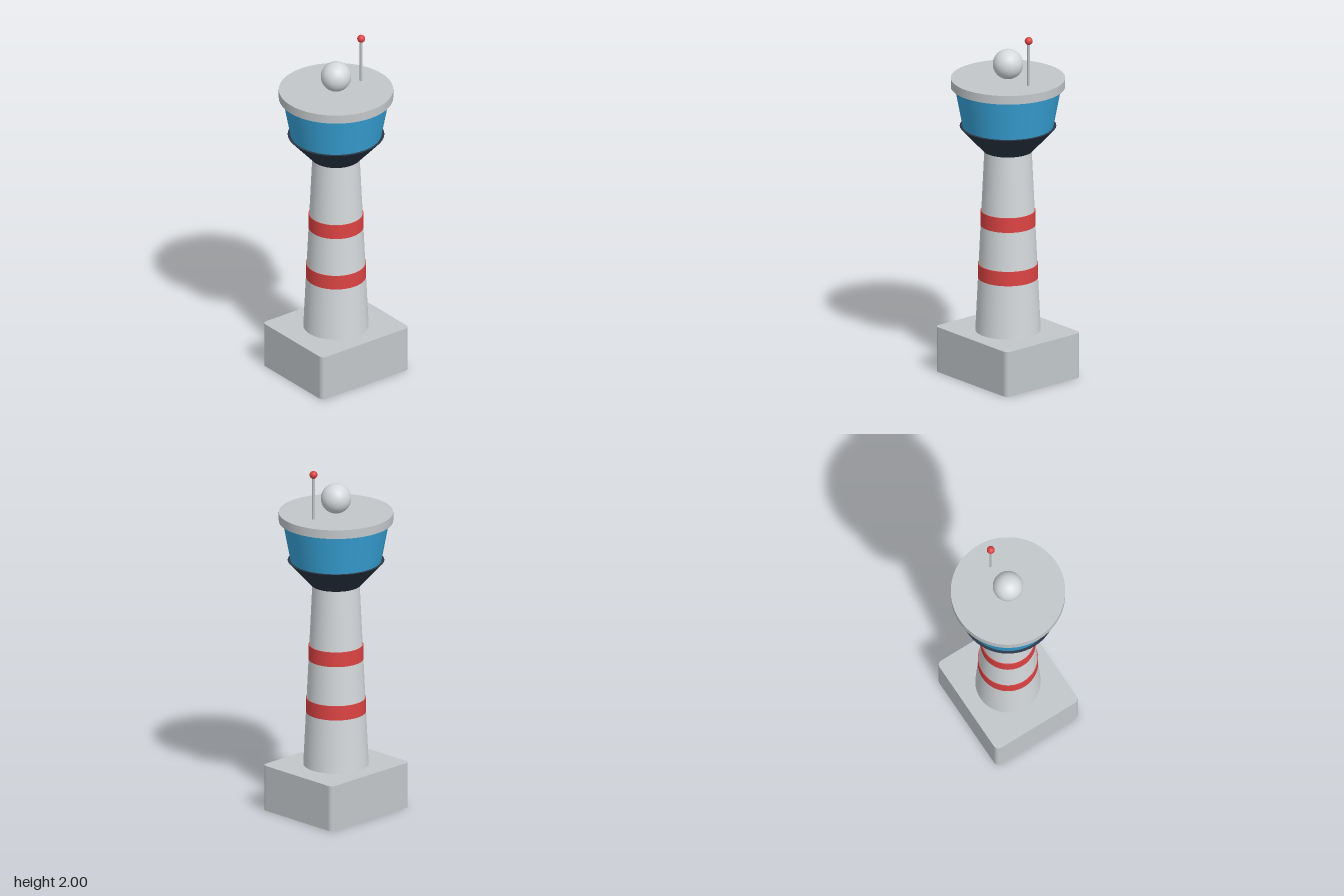
import * as THREE from 'three';

export function createModel() {
  const group = new THREE.Group();
  group.name = 'controlTower';

  const paint = (name, color) => {
    const m = new THREE.MeshStandardMaterial({ color });
    m.name = name;
    return m;
  };
  const concrete = paint('concrete grey', 0xc2c7ca);
  const white = paint('pale grey', 0xd5d9dc);
  const red = paint('red', 0xdc4343);
  const blue = paint('window blue', 0x38a3d8);
  const dark = paint('dark navy', 0x2b3545);

  const add = (name, geometry, material, x = 0, y = 0, z = 0) => {
    const mesh = new THREE.Mesh(geometry, material);
    mesh.name = name;
    mesh.position.set(x, y, z);
    group.add(mesh);
    return mesh;
  };
  // Round section between two heights
  const drum = (name, rBottom, rTop, y0, y1, material, x = 0, sides = 64) =>
    add(name, new THREE.CylinderGeometry(rTop, rBottom, y1 - y0, sides), material, x, (y0 + y1) / 2);

  // Base block with rounded vertical corners
  const w = 0.304, d = 0.27, r = 0.028;
  const plan = new THREE.Shape();
  plan.absarc(w - r, d - r, r, 0, Math.PI / 2);
  plan.absarc(-w + r, d - r, r, Math.PI / 2, Math.PI);
  plan.absarc(-w + r, -d + r, r, Math.PI, Math.PI * 1.5);
  plan.absarc(w - r, -d + r, r, Math.PI * 1.5, Math.PI * 2);
  plan.closePath();
  const baseGeometry = new THREE.ExtrudeGeometry(plan, { depth: 0.26, bevelEnabled: false, curveSegments: 8 });
  baseGeometry.rotateX(-Math.PI / 2);
  add('base', baseGeometry, concrete);

  // Tapered shaft with two painted bands
  drum('shaft', 0.18, 0.13, 0.26, 1.31, white);
  drum('lowerBand', 0.1663, 0.1655, 0.565, 0.647, red);
  drum('upperBand', 0.1517, 0.151, 0.87, 0.954, red);

  // Control cab: flared collar, leaning windows, flat roof
  drum('collar', 0.138, 0.266, 1.303, 1.443, dark);
  drum('windows', 0.25, 0.294, 1.44, 1.672, blue);
  drum('roof', 0.315, 0.315, 1.67, 1.72, concrete, 0, 96);

  // Radar dome and antenna
  add('radarDome', new THREE.SphereGeometry(0.084, 40, 28), white, 0, 1.8, 0);
  drum('antennaMast', 0.008, 0.008, 1.715, 1.975, concrete, 0.175, 16);
  add('beacon', new THREE.SphereGeometry(0.022, 24, 16), red, 0.175, 1.978, 0);

  return group;
}
